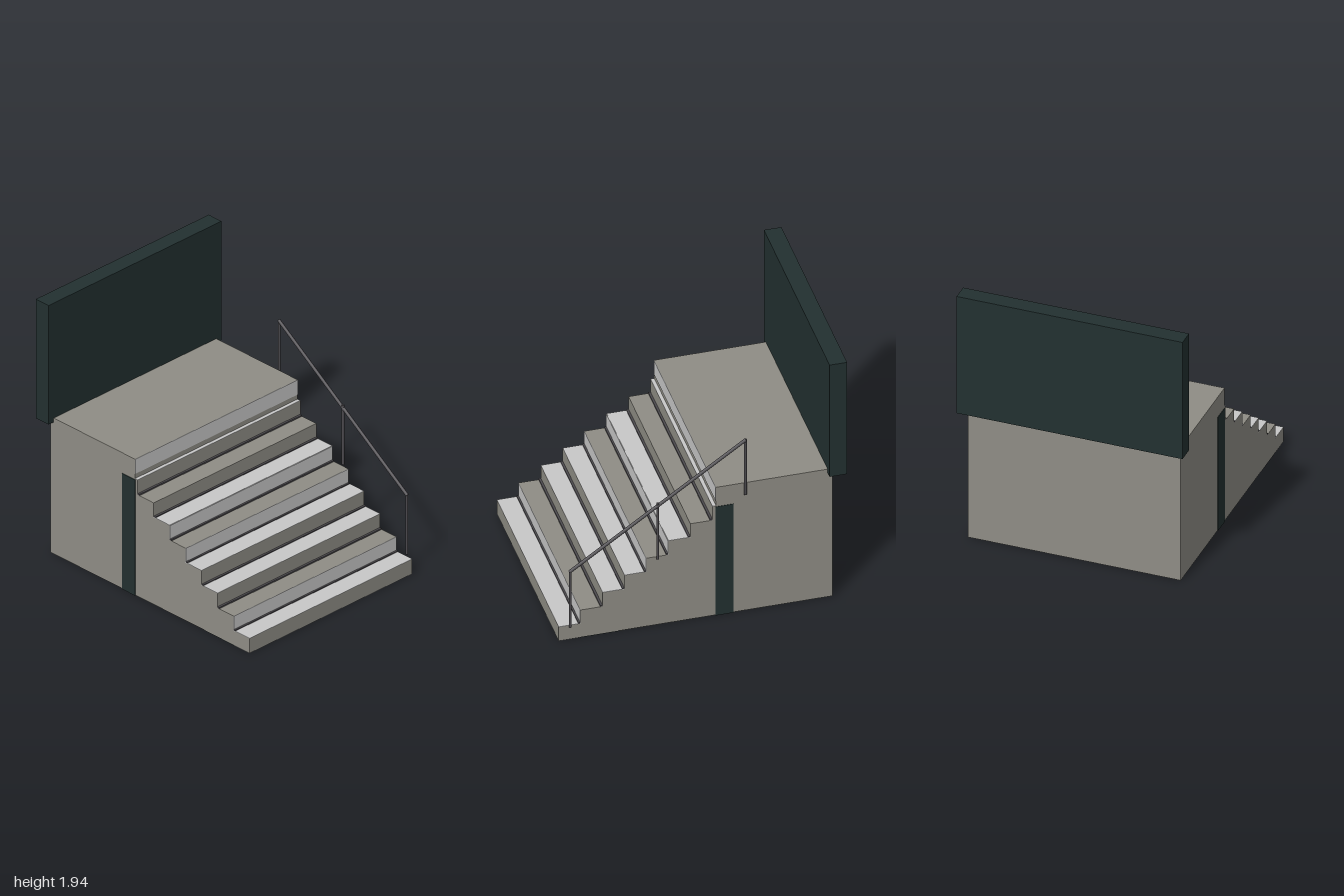
import * as THREE from 'three';

export function createModel() {
  const model = new THREE.Group();
  model.name = 'staircase';

  const material = (name, color) => {
    const m = new THREE.MeshStandardMaterial({ color });
    m.name = name;
    return m;
  };
  const stone = material('grey stone', 0x8f8d85);
  const paleStone = material('pale stone', 0xc8c8c8);
  const darkPanel = material('dark green panel', 0x223030);
  const metal = material('dark metal', 0x4b494d);

  const add = (name, geometry, mat) => {
    const mesh = new THREE.Mesh(geometry, mat);
    mesh.name = name;
    model.add(mesh);
    return mesh;
  };
  // Box given by its extents on each axis
  const box = (name, mat, [x0, x1], [y0, y1], [z0, z1]) =>
    add(name, new THREE.BoxGeometry(x1 - x0, y1 - y0, z1 - z0), mat)
      .position.set((x0 + x1) / 2, (y0 + y1) / 2, (z0 + z1) / 2);

  const HALF = 0.765;
  const WIDTH = [-HALF, HALF];
  const STEPS = 8, RISE = 0.1125, RUN = 0.153;
  const PLATE = 0.003;
  const platformFront = -0.1, platformBack = -0.91, platformTop = 1.053;
  const stepFront = (i) => 1 - PLATE - i * RUN;
  const stepTop = (i) => (i + 1) * RISE;
  const stepBack = (i) => (i < STEPS - 1 ? stepFront(i + 1) : platformFront);

  // Stepped body and landing: side profile extruded across the width
  const profile = new THREE.Shape();
  profile.moveTo(stepFront(0), PLATE);
  for (let i = 0; i < STEPS; i++) {
    profile.lineTo(stepFront(i), stepTop(i));
    profile.lineTo(stepBack(i), stepTop(i));
  }
  profile.lineTo(platformFront, platformTop);
  profile.lineTo(platformBack, platformTop);
  profile.lineTo(platformBack, PLATE);
  profile.closePath();
  const body = new THREE.ExtrudeGeometry(profile, { depth: HALF * 2, bevelEnabled: false });
  body.translate(0, 0, -HALF);
  body.rotateY(-Math.PI / 2);
  add('stairBody', body, stone);

  // Pale facings on some treads and risers
  for (const i of [0, 2, 3, 5, 7])
    box('paleTread', paleStone, WIDTH, [stepTop(i), stepTop(i) + PLATE], [stepBack(i), stepFront(i)]);
  for (const i of [1, 4, 5])
    box('paleRiser', paleStone, WIDTH, [stepTop(i - 1), stepTop(i)], [stepFront(i), stepFront(i) + PLATE]);
  box('landingEdge', paleStone, WIDTH, [0.94, platformTop], [platformFront, platformFront + PLATE]);

  // Dark strips where each tread meets the next riser
  for (let i = 1; i < STEPS; i++)
    box('stepStrip', metal, WIDTH, [stepTop(i - 1), stepTop(i - 1) + 0.01], [stepFront(i), stepFront(i) + 0.016]);

  // Dark support band round the sides and underside
  box('supportBand', darkPanel, [-HALF - PLATE, HALF + PLATE], [0, 0.895], [-0.222, -0.095]);
  // Underside facings below the first steps
  box('undersideBand', darkPanel, WIDTH, [0, PLATE], [0.58, 0.847]);
  box('undersideFront', paleStone, WIDTH, [0, PLATE], [0.847, stepFront(0)]);

  // Back wall
  box('backWall', darkPanel, [-0.813, 0.813], [1.022, 1.942], [-1, -0.878]);

  // Handrail on the left side of the stairs
  const rod = (name, a, b, radius) => {
    const dir = b.clone().sub(a);
    const mesh = add(name, new THREE.CylinderGeometry(radius, radius, dir.length(), 12), metal);
    mesh.position.copy(a).add(b).multiplyScalar(0.5);
    mesh.quaternion.setFromUnitVectors(new THREE.Vector3(0, 1, 0), dir.normalize());
  };
  const railX = 0.787;
  const at = (y, z) => new THREE.Vector3(railX, y, z);
  rod('handrail', at(0.57, 0.928), at(1.422, -0.302), 0.012);
  for (const [z, y0, y1] of [[0.923, 0.115, 0.575], [0.313, 0.56, 1.018], [-0.298, 0.972, 1.425]])
    rod('handrailPost', at(y0, z), at(y1, z), 0.01);

  return model;
}
